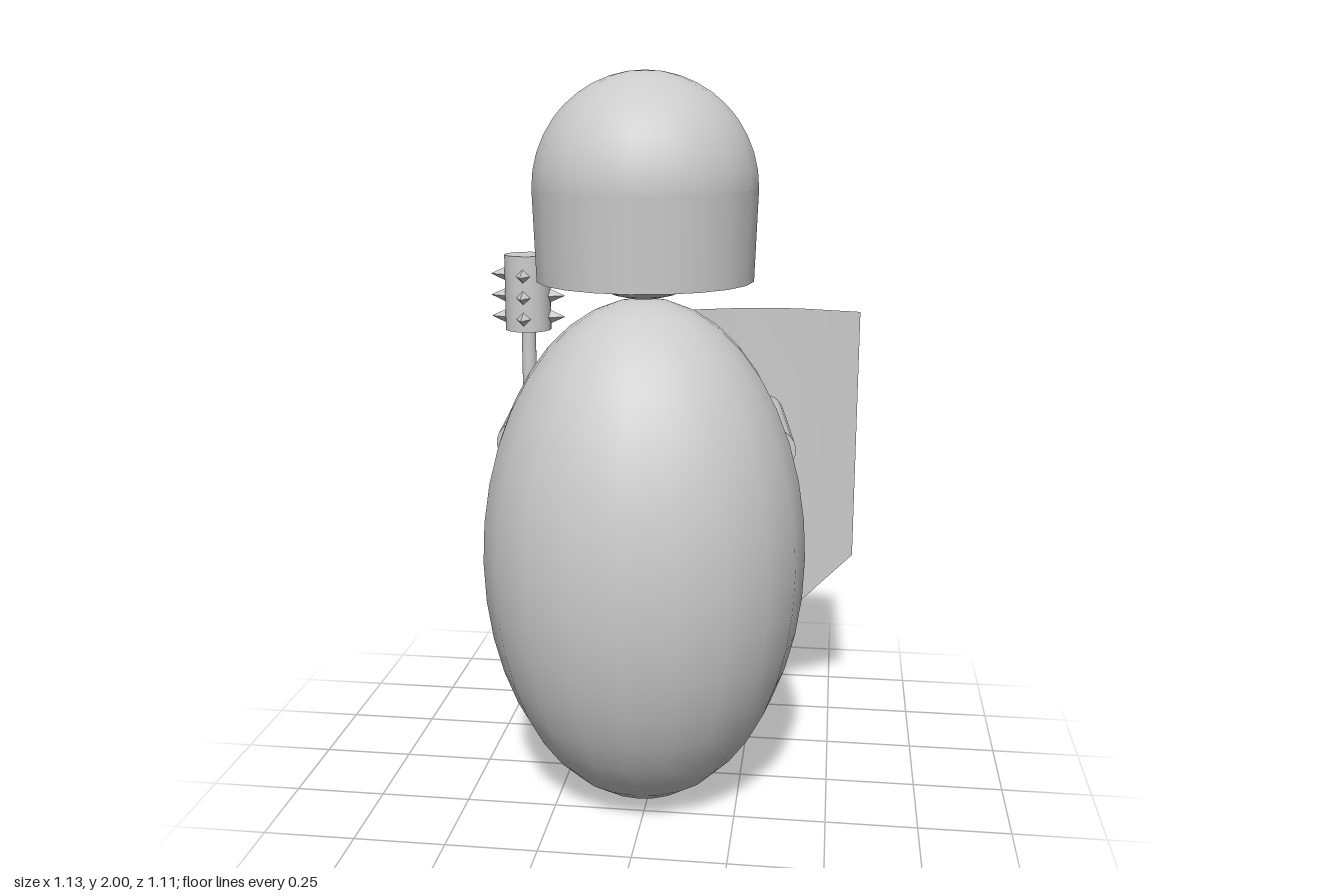
import * as THREE from 'three';

const grey = new THREE.MeshStandardMaterial({ color: 0xcccccc });
const sheet = new THREE.MeshStandardMaterial({ color: 0xcccccc, side: THREE.DoubleSide });
const rad = THREE.MathUtils.degToRad;

function add(parent, name, geometry, position = [0, 0, 0], material = grey) {
  const mesh = new THREE.Mesh(geometry, material);
  mesh.name = name;
  mesh.position.set(...position);
  parent.add(mesh);
  return mesh;
}

// Cylinder running between two points
function rod(parent, name, from, to, radius) {
  const a = new THREE.Vector3(...from), b = new THREE.Vector3(...to);
  const mesh = add(parent, name, new THREE.CylinderGeometry(radius, radius, a.distanceTo(b), 20));
  mesh.position.copy(a).add(b).multiplyScalar(0.5);
  mesh.quaternion.setFromUnitVectors(new THREE.Vector3(0, 1, 0), b.sub(a).normalize());
  return mesh;
}

// Open shell: dome bands and a skirt, with a stepped face opening towards -z
function makeHelmet() {
  const helmet = new THREE.Group();
  helmet.name = 'helmet';
  const r = 0.295, skirt = 0.24;
  // [top angle, bottom angle, half width of opening, rows]
  const bands = [[0, 45, 0, 5], [45, 54, 18, 1], [54, 90, 36, 4]];
  for (const [top, bottom, half, rows] of bands) {
    const segments = 20 - half / 9;
    add(helmet, 'helmetDome', new THREE.SphereGeometry(r, segments, rows,
      rad(270 + half), rad(360 - 2 * half), rad(top), rad(bottom - top)), [0, 0, 0], sheet);
  }
  add(helmet, 'helmetSkirt', new THREE.CylinderGeometry(r, 0.286, skirt, 16, 1, true,
    rad(180 + 36), rad(360 - 72)), [0, -skirt / 2, 0], sheet);
  return helmet;
}

// Shaft with a studded head: three rows of four spikes
function makeMace() {
  const mace = new THREE.Group();
  mace.name = 'mace';
  add(mace, 'maceHandle', new THREE.CylinderGeometry(0.022, 0.022, 0.27, 16), [0, 1.115, 0]);
  add(mace, 'maceHead', new THREE.CylinderGeometry(0.07, 0.07, 0.23, 20), [0, 1.35, 0]);
  const cone = new THREE.ConeGeometry(0.025, 0.055, 4).toNonIndexed();
  cone.computeVertexNormals();
  cone.rotateX(Math.PI / 2).translate(0, 0, 0.0875);
  for (const y of [1.275, 1.34, 1.405]) {
    for (let i = 0; i < 4; i++) {
      add(mace, 'maceSpike', cone, [0, y, 0]).rotation.y = i * Math.PI / 2;
    }
  }
  return mace;
}

// Thin curved plate with a pointed lower edge: columns of [x, z, bottom y]
function shieldGeometry() {
  const columns = [
    [0.56, -0.46, 0.54], [0.37, -0.51, 0.33], [0.185, -0.49, 0.27],
    [0.005, -0.425, 0.32], [-0.145, -0.31, 0.53],
  ];
  const positions = [], index = [];
  columns.forEach(([x, z, bottom], i) => {
    positions.push(x, 1.305, z, x, bottom, z);
    if (i > 0) {
      const k = 2 * i;
      index.push(k - 2, k - 1, k, k, k - 1, k + 1);
    }
  });
  const geometry = new THREE.BufferGeometry();
  geometry.setAttribute('position', new THREE.Float32BufferAttribute(positions, 3));
  geometry.setIndex(index);
  geometry.computeVertexNormals();
  return geometry;
}

export function createModel() {
  const model = new THREE.Group();
  model.name = 'guard';

  // Egg-shaped body and round head
  add(model, 'body', new THREE.SphereGeometry(1, 20, 20), [-0.017, 0.71, 0.112])
    .scale.set(0.441, 0.706, 0.441);
  add(model, 'head', new THREE.SphereGeometry(0.262, 20, 20), [-0.017, 1.677, 0.112]);

  const helmet = makeHelmet();
  helmet.position.set(-0.013, 1.705, 0.112);
  model.add(helmet);

  // Arms reach out towards -z
  rod(model, 'rightArm', [-0.396, 0.98, -0.02], [-0.449, 0.98, -0.485], 0.06);
  rod(model, 'leftArm', [0.33, 0.98, -0.015], [0.277, 0.98, -0.48], 0.06);

  const mace = makeMace();
  mace.position.set(-0.451, 0, -0.443);
  model.add(mace);

  add(model, 'shield', shieldGeometry(), [0, 0, 0], sheet);
  return model;
}
